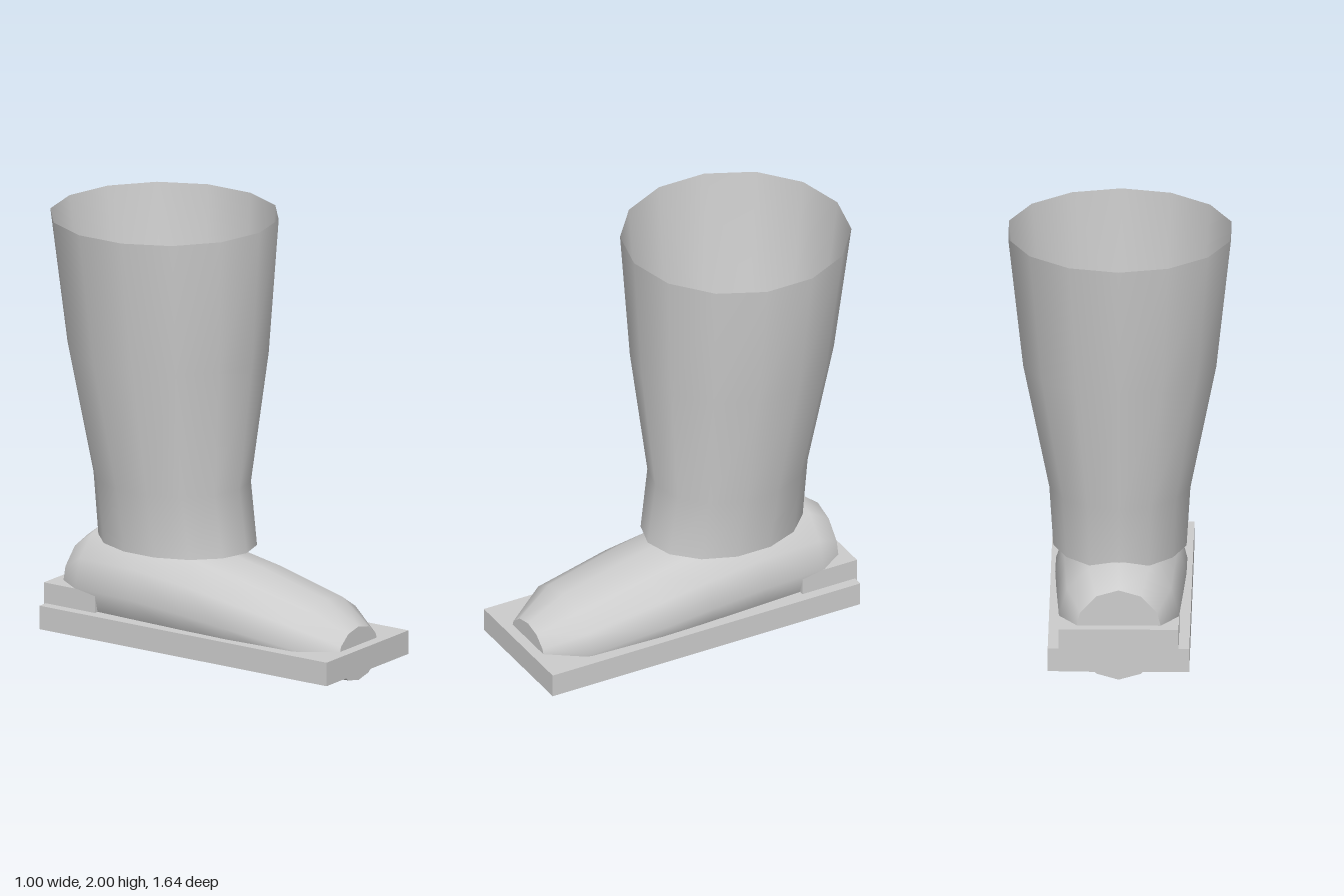
import * as THREE from 'three';

// Skin a list of closed rings (arrays of Vector3) with smooth normals
function loft(rings) {
  const n = rings[0].length, index = [];
  for (let i = 0; i < rings.length - 1; i++) {
    for (let j = 0; j < n; j++) {
      const a = i * n + j, b = i * n + (j + 1) % n;
      index.push(a, a + n, b, b, a + n, b + n);
    }
  }
  const geometry = new THREE.BufferGeometry().setFromPoints(rings.flat());
  geometry.setIndex(index);
  geometry.computeVertexNormals();
  return geometry;
}

// Points of an ellipse, mapped into space by place(cos, sin)
function ring(sides, place) {
  return Array.from({ length: sides }, (_, i) => {
    const a = (i / sides) * Math.PI * 2;
    return place(Math.cos(a), Math.sin(a));
  });
}

export function createModel() {
  const model = new THREE.Group();
  const grey = new THREE.MeshStandardMaterial({ color: 0xcccccc, side: THREE.DoubleSide });
  grey.name = 'light grey';

  const add = (name, geometry, x = 0, y = 0, z = 0) => {
    const mesh = new THREE.Mesh(geometry, grey);
    mesh.name = name;
    mesh.position.set(x, y, z);
    model.add(mesh);
    return mesh;
  };

  // Open trouser leg: height, half width, front z, back z
  const legRings = [
    [2.0, 0.513, 0.225, -0.82],
    [1.38, 0.445, 0.185, -0.74],
    [0.78, 0.325, 0.115, -0.625],
    [0.49, 0.307, 0.155, -0.605],
  ].map(([y, rx, front, back]) => ring(14, (c, s) =>
    new THREE.Vector3(rx * s, y, (front + back) / 2 + c * (front - back) / 2)));
  add('trouserLeg', loft(legRings));

  // Shoe from toe to heel: z, half width, top height
  const shoeRings = [
    [0.77, 0.155, 0.25],
    [0.59, 0.265, 0.35],
    [0.23, 0.295, 0.44],
    [-0.02, 0.295, 0.49],
    [-0.3, 0.285, 0.525],
    [-0.6, 0.27, 0.525],
    [-0.72, 0.2, 0.43],
  ].map(([z, rx, top]) => ring(12, (c, s) =>
    new THREE.Vector3(rx * c, 0.5 * top * (1 + s), z)));
  add('shoe', loft(shoeRings));

  // Flat ends of the shoe
  const cap = points => new THREE.ShapeGeometry(
    new THREE.Shape(points.map(p => new THREE.Vector2(p.x, p.y))));
  add('toeCap', cap(shoeRings[0]), 0, 0, 0.77);
  add('heelCap', cap(shoeRings[shoeRings.length - 1]), 0, 0, -0.72).rotation.y = Math.PI;

  // Base board and the block behind the heel
  add('baseBoard', new THREE.BoxGeometry(0.636, 0.11, 1.58), 0, 0.11, 0.03);
  add('heelBlock', new THREE.BoxGeometry(0.54, 0.204, 0.28), 0, 0.159, -0.63);

  return model;
}
